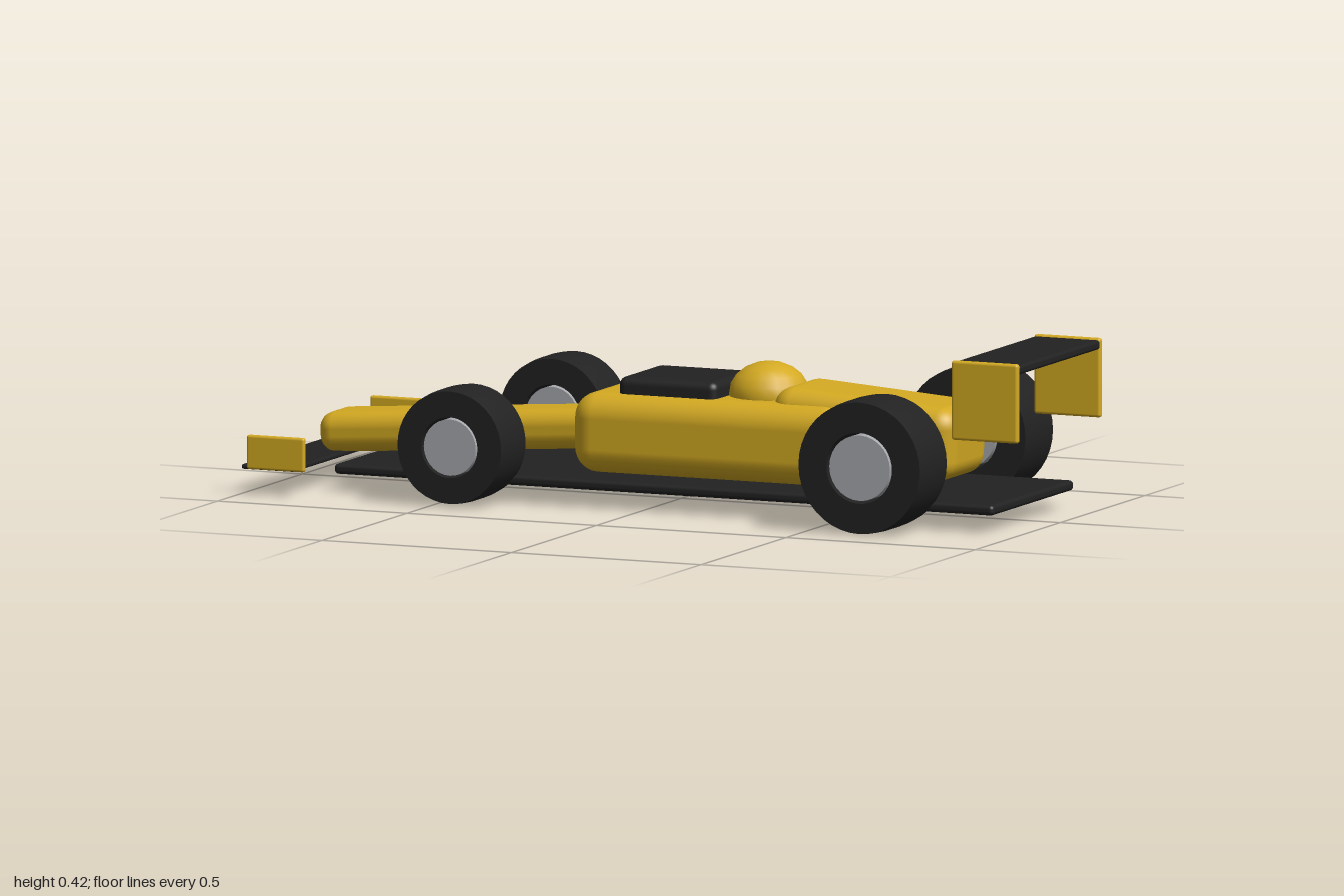
import * as THREE from 'three';
import { RoundedBoxGeometry } from 'three/addons/geometries/RoundedBoxGeometry.js';

function mat(name, color) {
  const m = new THREE.MeshStandardMaterial({ color });
  m.name = name;
  return m;
}

export function createModel() {
  const car = new THREE.Group();
  car.name = 'raceCar';
  const gold = mat('goldPaint', 0xd4aa22);
  const black = mat('blackRubber', 0x222222);
  const grey = mat('rimGrey', 0xa8aaae);

  // Rounded box given by its extents along x, y and z
  function block(name, material, [x0, x1], [y0, y1], [z0, z1], radius, tilt = 0) {
    const geo = new RoundedBoxGeometry(x1 - x0, y1 - y0, z1 - z0, 4, radius);
    const mesh = new THREE.Mesh(geo, material);
    mesh.name = name;
    mesh.position.set((x0 + x1) / 2, (y0 + y1) / 2, (z0 + z1) / 2);
    mesh.rotation.z = tilt;
    car.add(mesh);
  }

  // Floor and bodywork
  block('floor', black, [-0.81, 0.93], [0.043, 0.068], [-0.24, 0.24], 0.01);
  block('body', gold, [-0.225, 0.49], [0.07, 0.265], [-0.17, 0.17], 0.06);
  block('nose', gold, [-0.93, -0.15], [0.092, 0.19], [-0.083, 0.083], 0.04, 0.07);
  block('engineCover', gold, [0.28, 0.765], [0.108, 0.288], [-0.122, 0.122], 0.05, -0.07);
  block('cockpit', black, [-0.115, 0.145], [0.225, 0.305], [-0.12, 0.12], 0.02);

  // Driver helmet
  const helmet = new THREE.Mesh(new THREE.SphereGeometry(0.098, 20, 10), gold);
  helmet.name = 'helmet';
  helmet.scale.y = 0.8;
  helmet.position.set(0.232, 0.27, 0);
  car.add(helmet);

  // Wings and their end plates
  block('frontWing', black, [-1, -0.86], [0.06, 0.072], [-0.36, 0.36], 0.005);
  block('rearWing', black, [0.825, 1], [0.39, 0.413], [-0.238, 0.238], 0.008);
  for (const s of [-1, 1]) {
    const side = s > 0 ? 'left' : 'right';
    const fz = s * 0.363, rz = s * 0.243;
    block(side + 'FrontEndPlate', gold, [-0.982, -0.83], [0.062, 0.145], [fz - 0.008, fz + 0.008], 0.006);
    block(side + 'RearEndPlate', gold, [0.825, 1], [0.224, 0.417], [rz - 0.009, rz + 0.009], 0.007);
  }

  // Wheel: ring tyre with a slightly crowned tread around a loose-fitting rim
  function wheel(name, x, y, z, r, width) {
    const group = new THREE.Group();
    group.name = name;
    const w = width / 2, hole = r * 0.53;
    const rings = [
      [[hole, -w], [r - 0.003, -w]],
      [[r - 0.003, -w], [r, -w * 0.5], [r, w * 0.5], [r - 0.003, w]],
      [[r - 0.003, w], [hole, w]],
      [[hole, w], [hole, -w]],
    ];
    for (const ring of rings) {
      const geo = new THREE.LatheGeometry(ring.map(p => new THREE.Vector2(...p)), 40);
      const part = new THREE.Mesh(geo, black);
      part.name = 'tyre';
      group.add(part);
    }
    const rim = new THREE.Mesh(new THREE.CylinderGeometry(r * 0.49, r * 0.49, width * 0.97, 28), grey);
    rim.name = 'rim';
    group.add(rim);
    group.rotation.x = Math.PI / 2;
    group.position.set(x, y, z);
    car.add(group);
  }
  for (const s of [-1, 1]) {
    const side = s > 0 ? 'left' : 'right';
    wheel(side + 'FrontWheel', -0.445, 0.146, s * 0.301, 0.14, 0.144);
    wheel(side + 'RearWheel', 0.645, 0.163, s * 0.312, 0.163, 0.162);
  }
  return car;
}
